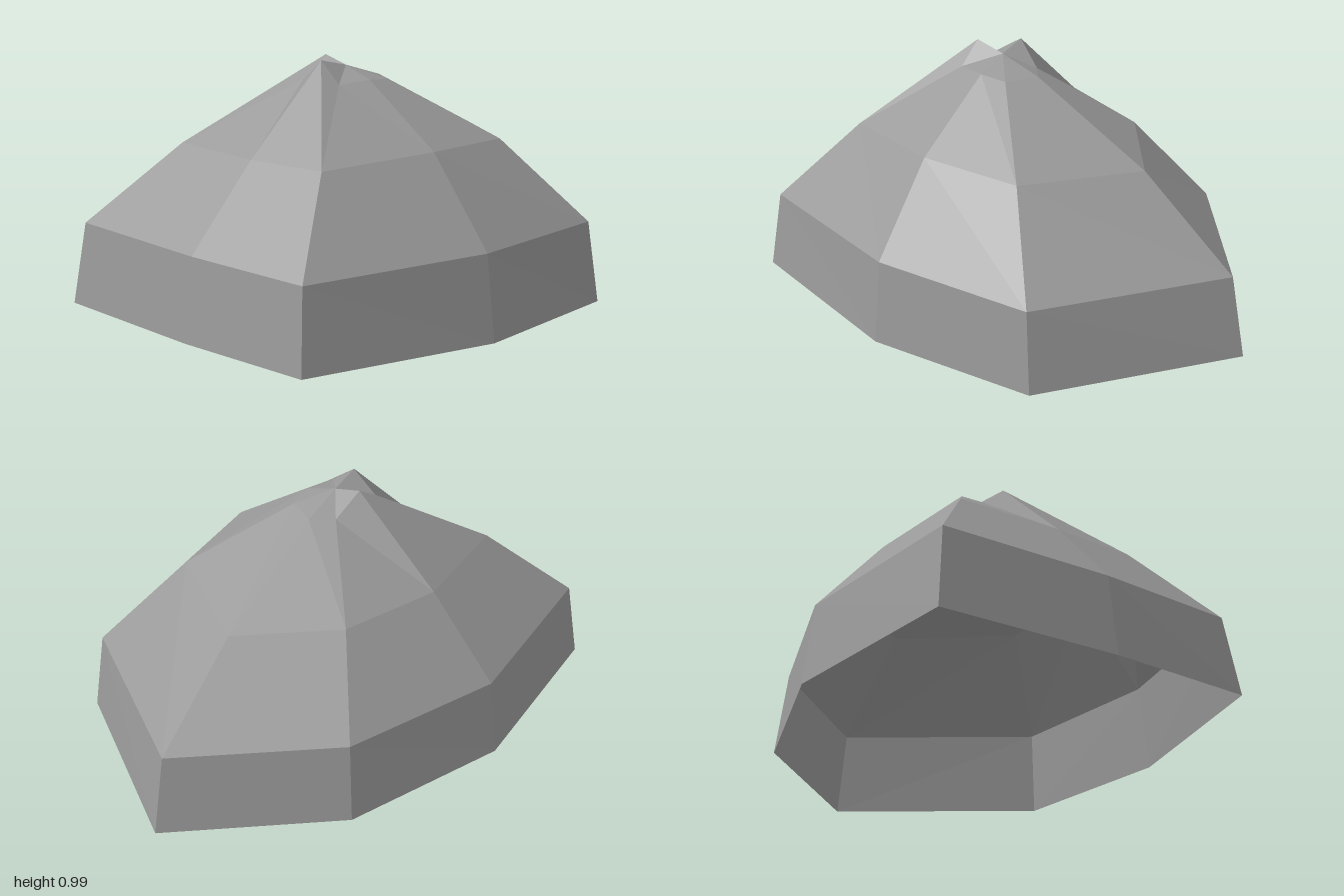
import * as THREE from 'three';

// Rings of [x, y, z], each running E, NE, N, NW, W, SW, S, SE seen from above (south is +z)
const RINGS = [
  // ground outline
  [[1, 0, 0], [0.5, 0, -0.565], [-0.18, 0, -0.8], [-0.99, 0, -0.73],
   [-1, 0, 0], [-0.96, 0, 0.6], [-0.18, 0, 0.795], [0.525, 0, 0.72]],
  // top of the steep foot
  [[0.935, 0.325, 0], [0.47, 0.325, -0.53], [-0.18, 0.325, -0.76], [-0.95, 0.33, -0.69],
   [-0.96, 0.325, 0], [-0.92, 0.32, 0.565], [-0.18, 0.335, 0.755], [0.49, 0.33, 0.69]],
  // shoulder
  [[0.52, 0.645, 0], [0.23, 0.65, -0.34], [-0.18, 0.65, -0.475], [-0.66, 0.65, -0.43],
   [-0.67, 0.645, 0], [-0.64, 0.65, 0.36], [-0.18, 0.675, 0.48], [0.24, 0.665, 0.435]],
  // rim of the peak, with two raised tips
  [[0, 0.9, 0], [-0.07, 0.895, -0.08], [-0.18, 0.985, -0.115], [-0.31, 0.9, -0.105],
   [-0.31, 0.985, 0], [-0.31, 0.9, 0.1], [-0.18, 0.91, 0.135], [-0.07, 0.9, 0.12]],
];
const APEX = [-0.18, 0.955, 0];

export function createModel() {
  const stone = new THREE.MeshStandardMaterial({ color: 0x999999, flatShading: true, side: THREE.DoubleSide });
  stone.name = 'stone grey';

  const positions = [];
  const tri = (a, b, c) => positions.push(...a, ...b, ...c);
  const n = RINGS[0].length;

  // Bands between rings, each split from the lower corner to the next upper one
  for (let r = 0; r < RINGS.length - 1; r++) {
    const lo = RINGS[r], up = RINGS[r + 1];
    for (let i = 0; i < n; i++) {
      const j = (i + 1) % n;
      tri(lo[i], lo[j], up[i]);
      tri(lo[j], up[j], up[i]);
    }
  }

  // Cap fan to the apex
  const top = RINGS[RINGS.length - 1];
  for (let i = 0; i < n; i++) tri(top[i], top[(i + 1) % n], APEX);

  const geometry = new THREE.BufferGeometry();
  geometry.setAttribute('position', new THREE.Float32BufferAttribute(positions, 3));
  geometry.computeVertexNormals();

  // Hollow rock shell, open underneath
  const rock = new THREE.Mesh(geometry, stone);
  rock.name = 'rock';
  const group = new THREE.Group();
  group.name = 'boulder';
  group.add(rock);
  return group;
}
